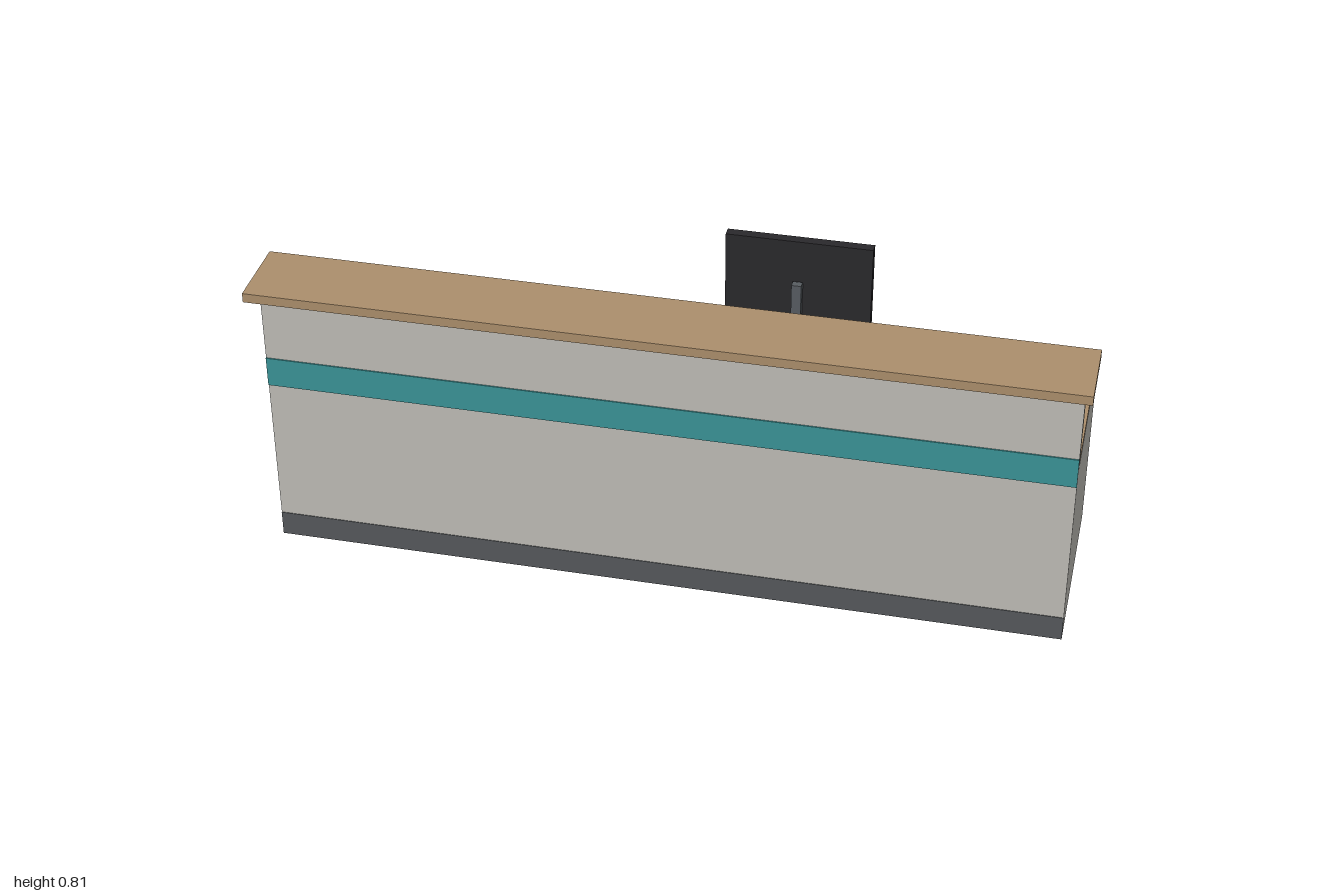
import * as THREE from 'three';

const mat = (color) => new THREE.MeshStandardMaterial({ color });

export function createModel() {
  const model = new THREE.Group();
  const panel = mat(0xc0beb8), wood = mat(0xac8f6c), teal = mat(0x3a9498);
  const dark = mat(0x56595d), black = mat(0x2a292c), screenMat = mat(0x232b33);
  const metal = mat(0x585d62), drawerMat = mat(0x93979b);

  // Box given by its lower and upper limits on each axis
  const box = (name, material, [x0, x1], [y0, y1], [z0, z1], parent = model) => {
    const mesh = new THREE.Mesh(new THREE.BoxGeometry(x1 - x0, y1 - y0, z1 - z0), material);
    mesh.position.set((x0 + x1) / 2, (y0 + y1) / 2, (z0 + z1) / 2);
    mesh.name = name;
    parent.add(mesh);
    return mesh;
  };

  // Counter front with its accent band and kick strip
  box('frontPanel', panel, [-0.98, 0.98], [0, 0.722], [0.195, 0.22]);
  box('accentBand', teal, [-0.98, 0.98], [0.452, 0.53], [0.219, 0.223]);
  box('kickStrip', dark, [-0.98, 0.98], [0, 0.065], [0.219, 0.2215]);
  box('counterTop', wood, [-1, 1], [0.722, 0.746], [0.083, 0.278]);

  // Desk: side panels overlap the lower part of the top
  box('deskTop', wood, [-0.979, 0.979], [0.469, 0.494], [-0.277, 0.195]);
  for (const side of [-1, 1]) {
    const x = side * 0.9675;
    box(side > 0 ? 'leftPanel' : 'rightPanel', panel, [x - 0.0125, x + 0.0125], [0, 0.485], [-0.278, 0.195]);
  }

  // Drawer pedestal, opening to the back
  const pedestal = new THREE.Group();
  pedestal.name = 'drawerPedestal';
  model.add(pedestal);
  box('pedestalBody', panel, [-0.8, -0.51], [0, 0.469], [-0.25, 0.13], pedestal);
  for (let i = 0; i < 3; i++) {
    const y = 0.015 + i * 0.15;
    box('drawerFront', drawerMat, [-0.788, -0.522], [y, y + 0.138], [-0.254, -0.249], pedestal);
  }

  // Monitor on its stand, screen facing the back
  const monitor = new THREE.Group();
  monitor.name = 'monitor';
  model.add(monitor);
  box('monitorBase', metal, [0.195, 0.32], [0.494, 0.502], [-0.167, -0.073], monitor);
  box('monitorPost', metal, [0.246, 0.27], [0.502, 0.706], [-0.117, -0.098], monitor);
  box('monitorMount', metal, [0.246, 0.27], [0.66, 0.7], [-0.123, -0.116], monitor);
  box('monitorCase', black, [0.08, 0.437], [0.6, 0.815], [-0.146, -0.121], monitor);
  box('screen', screenMat, [0.088, 0.429], [0.608, 0.807], [-0.147, -0.145], monitor);

  // Desk accessories
  box('keyboard', metal, [0.115, 0.4], [0.494, 0.506], [-0.259, -0.168]);
  box('mouse', metal, [0.447, 0.485], [0.494, 0.513], [-0.244, -0.18]);

  return model;
}
